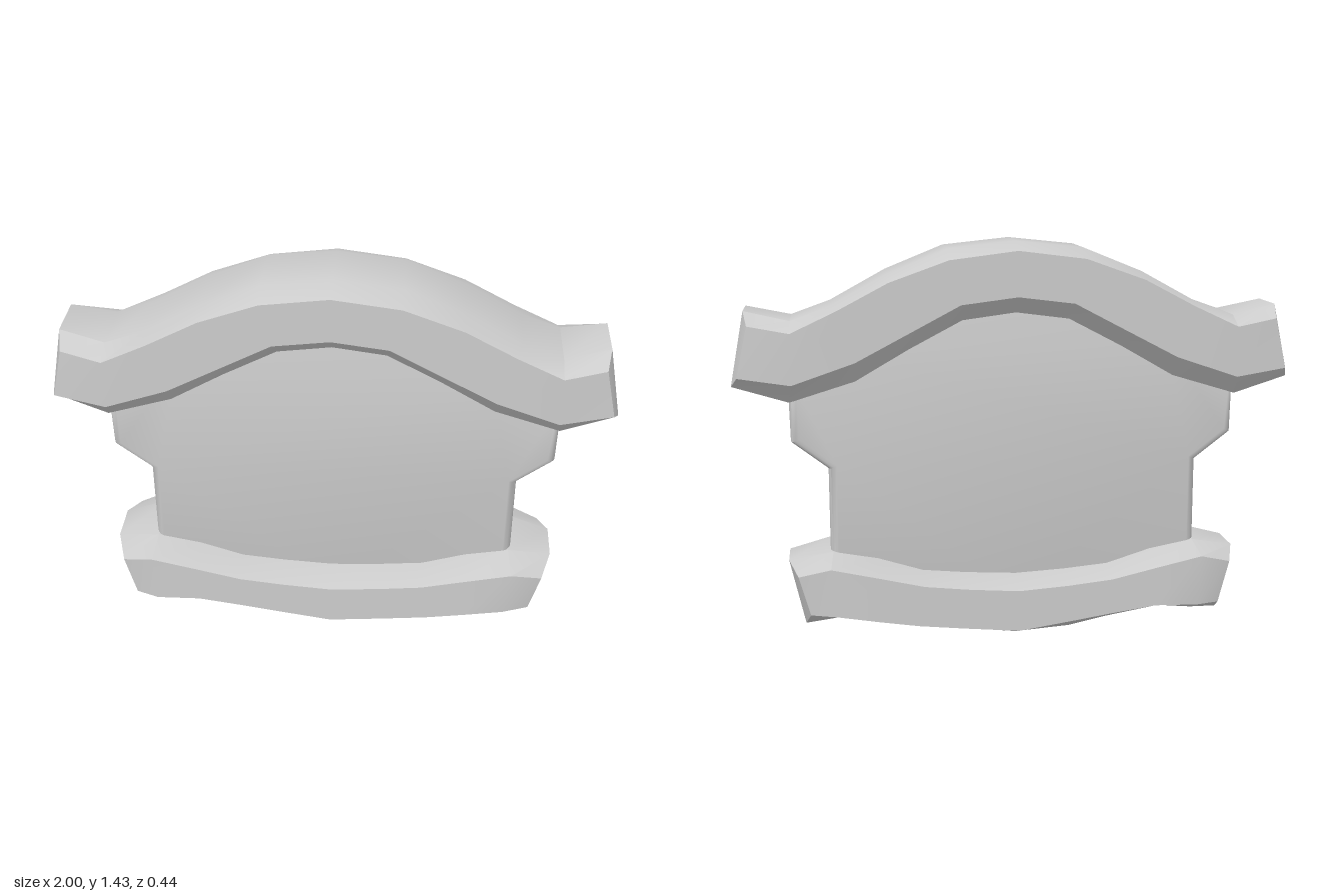
import * as THREE from 'three';
import { toCreasedNormals } from 'three/addons/utils/BufferGeometryUtils.js';

const material = new THREE.MeshStandardMaterial({ color: 0xcccccc });

// One beam section: x,y of the top, upper-front, lower-front and bottom edges,
// then the half depths of the front face, top face and bottom face.
function section([xT, yT, xU, yU, xL, yL, xB, yB], [zF, zT, zB]) {
  return [
    [xU, yU, zF], [xT, yT, zT], [xT, yT, -zT], [xU, yU, -zF],
    [xL, yL, -zF], [xB, yB, -zB], [xB, yB, zB], [xL, yL, zF],
  ];
}

// Skin eight-sided sections running from -x to +x and close both ends.
function beam(name, sections) {
  const pos = [];
  const quad = (a, b, c, d) => pos.push(...a, ...b, ...c, ...a, ...c, ...d);
  for (let i = 0; i < sections.length - 1; i++) {
    const p = sections[i], q = sections[i + 1];
    for (let j = 0; j < 8; j++) {
      const k = (j + 1) % 8;
      quad(p[j], q[j], q[k], p[k]);
    }
  }
  const first = sections[0], last = sections[sections.length - 1];
  for (const cap of [[1, 2, 5, 6], [0, 1, 6, 7], [2, 3, 4, 5]]) {
    quad(...cap.map((j) => first[j]));
    quad(...cap.map((j) => last[j]).reverse());
  }
  const geo = new THREE.BufferGeometry();
  geo.setAttribute('position', new THREE.Float32BufferAttribute(pos, 3));
  const mesh = new THREE.Mesh(toCreasedNormals(geo, 0.5), material);
  mesh.name = name;
  return mesh;
}

// Arched upper beam, mirrored about x = 0
function createUpperBeam() {
  const half = [
    [0, 1.435, 0, 1.405, 0, 1.245, 0, 1.185],
    [0.24, 1.41, 0.24, 1.375, 0.2, 1.22, 0.19, 1.16],
    [0.45, 1.325, 0.45, 1.3, 0.38, 1.125, 0.38, 1.06],
    [0.65, 1.215, 0.63, 1.205, 0.57, 1.025, 0.57, 0.95],
    [0.79, 1.165, 0.79, 1.13, 0.79, 0.95, 0.8, 0.88],
    [0.95, 1.2, 0.935, 1.155, 0.975, 0.975, 1, 0.935],
  ];
  const mirrored = half.slice(1).reverse().map((s) => s.map((v, i) => (i % 2 ? v : -v)));
  const all = [...mirrored, ...half];
  return beam('upperBeam', all.map((s, i) =>
    section(s, i === 0 || i === all.length - 1 ? [0.165, 0.09, 0.09] : [0.19, 0.11, 0.12])));
}

// Sagging lower beam with a slightly uneven underside
function createLowerBeam() {
  const all = [
    [-0.82, 0.295, -0.785, 0.262, -0.745, 0.108, -0.765, 0.055],
    [-0.66, 0.33, -0.67, 0.295, -0.66, 0.112, -0.66, 0.067],
    [-0.5, 0.3, -0.5, 0.257, -0.5, 0.115, -0.52, 0.08],
    [-0.34, 0.25, -0.34, 0.22, -0.34, 0.092, -0.34, 0.045],
    [-0.18, 0.235, -0.18, 0.203, -0.2, 0.07, -0.2, 0.015],
    [0, 0.225, 0, 0.19, 0, 0.04, 0, 0],
    [0.18, 0.235, 0.18, 0.203, 0.2, 0.058, 0.2, 0.022],
    [0.34, 0.25, 0.34, 0.22, 0.36, 0.074, 0.36, 0.043],
    [0.5, 0.3, 0.5, 0.257, 0.5, 0.095, 0.5, 0.064],
    [0.66, 0.33, 0.67, 0.295, 0.65, 0.12, 0.65, 0.085],
    [0.82, 0.295, 0.785, 0.262, 0.745, 0.12, 0.765, 0.055],
  ];
  return beam('lowerBeam', all.map((s, i) =>
    section(s, i === 0 || i === all.length - 1 ? [0.185, 0.075, 0.075] : [0.22, 0.11, 0.11])));
}

// Flat panel between the beams, with shoulder bulges and rounded sides
function createPanel() {
  const right = [
    [0.67, 0.2], [0.67, 0.63], [0.8, 0.73], [0.805, 0.95],
    [0.57, 1.08], [0.2, 1.3], [0, 1.32],
  ];
  const left = right.slice(0, -1).reverse().map(([x, y]) => [-x, y]);
  const outline = [[0, 0.1], ...right, ...left].map(([x, y]) => new THREE.Vector2(x, y));
  const bevel = 0.05;
  const geo = new THREE.ExtrudeGeometry(new THREE.Shape(outline), {
    depth: 0.22 - 2 * bevel, bevelThickness: bevel,
    bevelSize: 0.03, bevelOffset: -0.03, bevelSegments: 4,
  });
  geo.translate(0, 0, bevel - 0.11);
  const mesh = new THREE.Mesh(toCreasedNormals(geo, 0.8), material);
  mesh.name = 'panel';
  return mesh;
}

export function createModel() {
  const model = new THREE.Group();
  model.name = 'signBoard';
  model.add(createUpperBeam(), createPanel(), createLowerBeam());
  return model;
}
